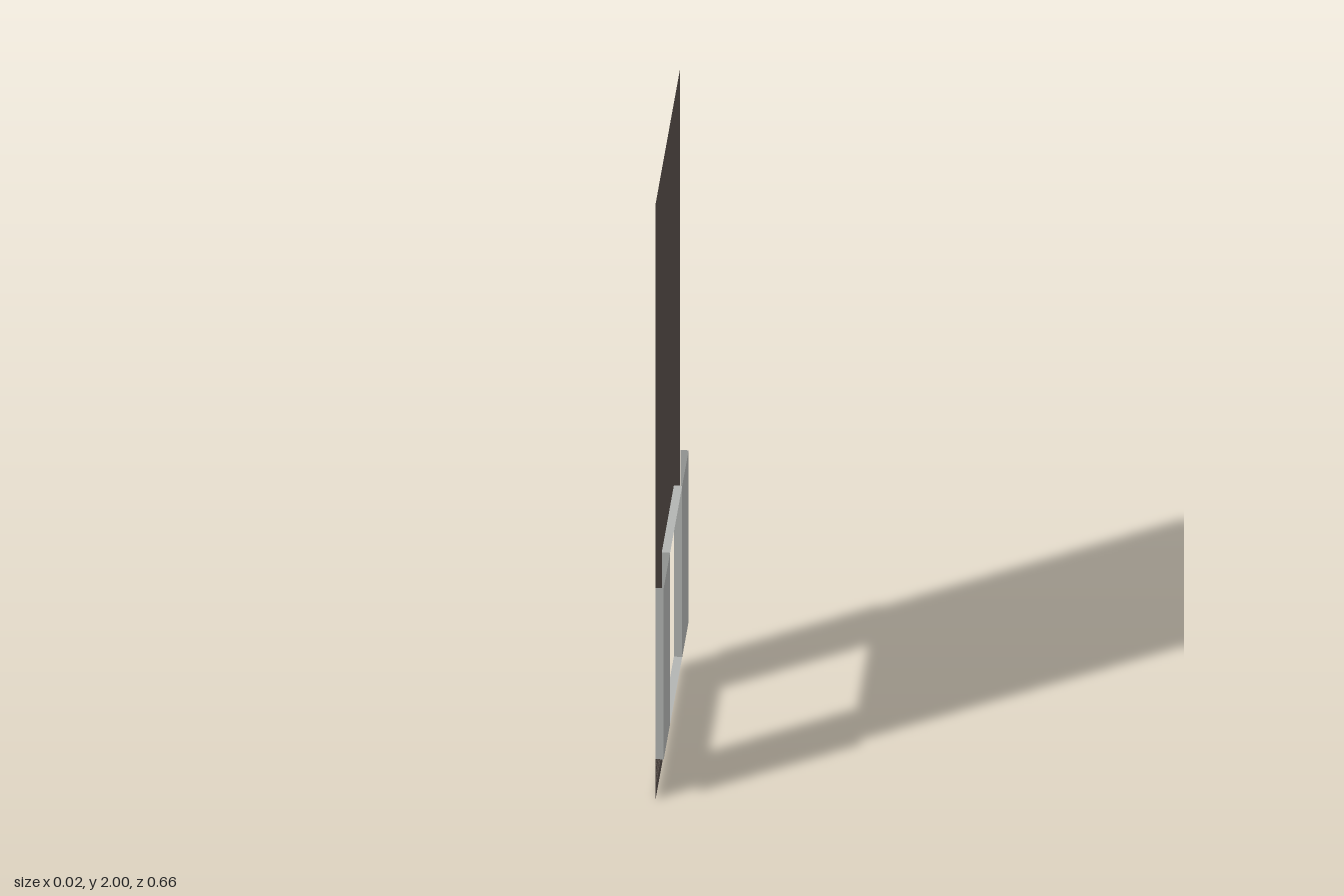
import * as THREE from 'three';

const BACK = -0.012, FRONT = 0.011;          // wall plane and shutter plane (x)
const HALF = 0.16, SILL = 0.14, HEAD = 0.715; // window opening

export function createModel() {
  const group = new THREE.Group();
  group.name = 'wallPanelWithWindow';

  const wallBrown = new THREE.MeshStandardMaterial({ color: 0x574e49, side: THREE.DoubleSide });
  wallBrown.name = 'wall brown';
  const trimGrey = new THREE.MeshStandardMaterial({ color: 0xb2b4b2, side: THREE.DoubleSide });
  trimGrey.name = 'trim grey';

  const add = (geometry, material, name, x, y, z) => {
    const mesh = new THREE.Mesh(geometry, material);
    mesh.name = name;
    mesh.position.set(x, y, z);
    group.add(mesh);
  };

  // Tall thin wall with a rectangular opening
  const rect = (P, w, y0, y1) => {
    const path = new P();
    path.moveTo(-w, y0).lineTo(w, y0).lineTo(w, y1).lineTo(-w, y1).closePath();
    return path;
  };
  const wall = rect(THREE.Shape, 0.32, 0, 2);
  wall.holes.push(rect(THREE.Path, HALF, SILL, HEAD));
  add(new THREE.ShapeGeometry(wall).rotateY(Math.PI / 2), wallBrown, 'wall', BACK, 0, 0);

  // Fine ledges across the foot of the wall
  for (const y of [0.055, 0.08, 0.11])
    add(new THREE.PlaneGeometry(0.002, 0.64).rotateX(-Math.PI / 2), wallBrown, 'footLedge', BACK + 0.001, y, 0);

  const depth = FRONT - BACK, midX = (FRONT + BACK) / 2;
  const height = HEAD - SILL, midY = (HEAD + SILL) / 2;

  for (const s of [-1, 1]) {
    // Side panels flanking the opening, with returns at both edges
    add(new THREE.PlaneGeometry(0.17, height).rotateY(Math.PI / 2), trimGrey, 'sidePanel', FRONT, midY, s * 0.245);
    add(new THREE.PlaneGeometry(depth, height).rotateY(s < 0 ? 0 : Math.PI), trimGrey, 'jamb', midX, midY, s * HALF);
    add(new THREE.PlaneGeometry(depth, height).rotateY(s > 0 ? 0 : Math.PI), trimGrey, 'outerReturn', midX, midY, s * 0.33);
  }

  // Lining above and below the opening
  add(new THREE.PlaneGeometry(depth, HALF * 2).rotateX(-Math.PI / 2), trimGrey, 'sill', midX, SILL, 0);
  add(new THREE.PlaneGeometry(depth, HALF * 2).rotateX(Math.PI / 2), trimGrey, 'head', midX, HEAD, 0);

  return group;
}
